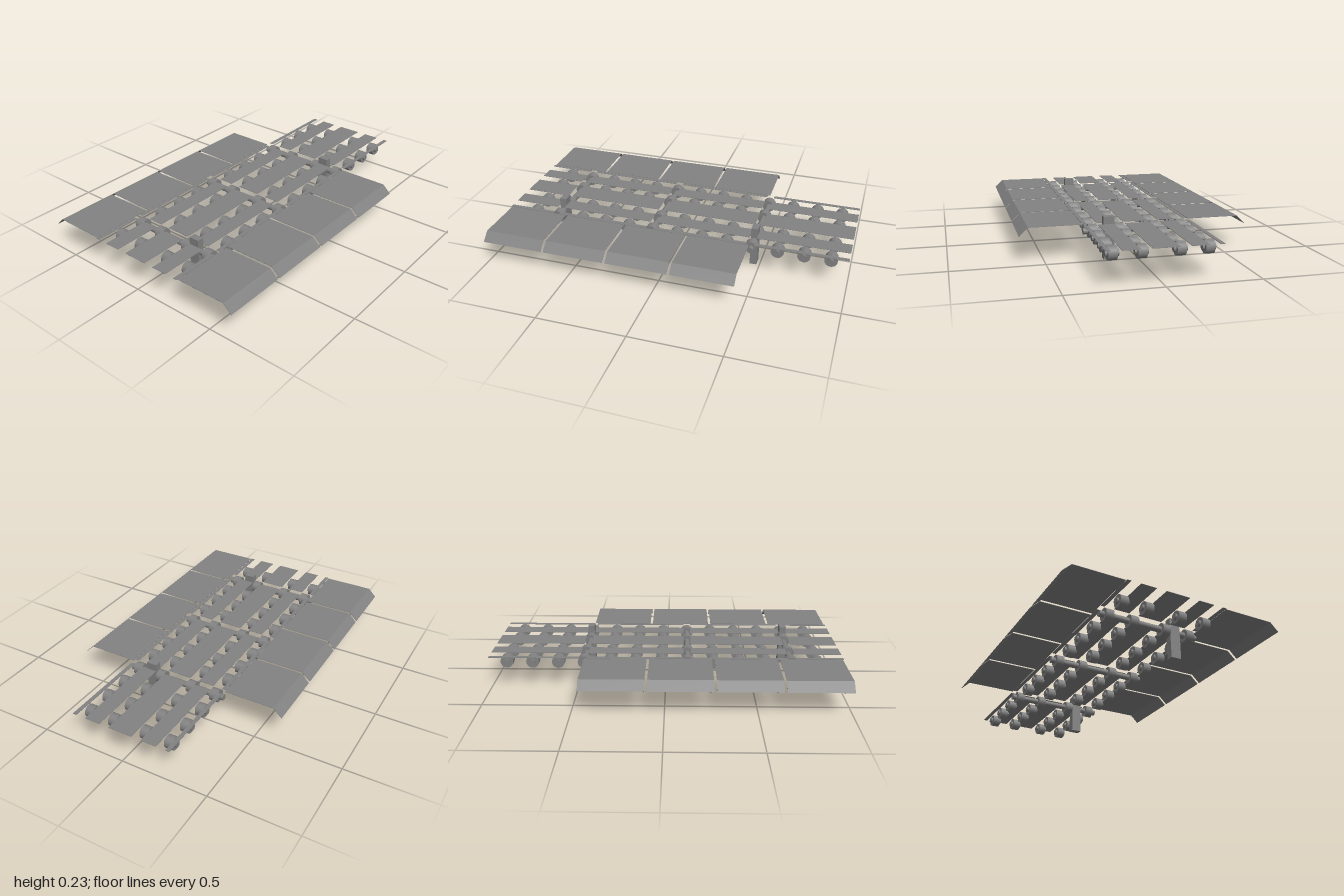
import * as THREE from 'three';

const material = new THREE.MeshStandardMaterial({ color: 0x828282, side: THREE.DoubleSide });
const DECK_Y = 0.195; // top of the sheet metal
const SHEET = 0.002; // sheet thickness
const AXLE_Y = 0.159;
const BREAK_ROWS = [3, 7, 11]; // rows where the floor strips are interrupted
const rowZ = (i) => -0.902 + i * 0.1466;

function add(parent, name, geometry, x = 0, y = 0, z = 0) {
  const mesh = new THREE.Mesh(geometry, material);
  mesh.name = name;
  mesh.position.set(x, y, z);
  parent.add(mesh);
  return mesh;
}

// Cylinder lying along x
function roller(radius, length) {
  return new THREE.CylinderGeometry(radius, radius, length, 24).rotateZ(Math.PI / 2);
}

// Flat floor strip between two x and two z limits
function strip(parent, name, x0, x1, z0, z1) {
  const geometry = new THREE.BoxGeometry(x1 - x0, SHEET, z1 - z0);
  add(parent, name, geometry, (x0 + x1) / 2, DECK_Y - SHEET / 2, (z0 + z1) / 2);
}

export function createModel() {
  const model = new THREE.Group();
  model.name = 'rollerConveyor';

  // Rows of wheels: a full axle at the floor breaks, short hubs elsewhere
  const axleGeo = roller(0.017, 0.59);
  const hubGeo = roller(0.017, 0.07);
  const wheelGeo = roller(0.036, 0.047);
  for (let i = 0; i < 13; i++) {
    const row = new THREE.Group();
    row.name = 'rollerRow';
    row.position.set(0, AXLE_Y, rowZ(i));
    const fullAxle = BREAK_ROWS.includes(i);
    if (fullAxle) add(row, 'axle', axleGeo);
    for (const x of [-0.245, -0.098, 0.098, 0.245]) {
      add(row, 'wheel', wheelGeo, x);
      if (!fullAxle) add(row, 'hub', hubGeo, x);
    }
    model.add(row);
  }

  // Floor strips between the wheels
  const gap = 0.021;
  const starts = [-1, ...BREAK_ROWS.map((i) => rowZ(i) + gap)];
  const ends = [...BREAK_ROWS.map((i) => rowZ(i) - gap), 1];
  starts.forEach((z0, i) => {
    strip(model, 'centreStrip', -0.069, 0.069, z0, ends[i]);
    for (const [name, a, b] of [['innerStrip', 0.126, 0.216], ['edgeStrip', 0.271, 0.294]]) {
      strip(model, name, a, b, z0, ends[i]);
      strip(model, name, -b, -a, z0, ends[i]);
    }
  });

  // Side walkway panels with a sloping outer lip
  const profile = new THREE.Shape([
    [0.297, DECK_Y], [0.586, DECK_Y], [0.634, 0.148],
    [0.632, 0.147], [0.585, DECK_Y - SHEET], [0.297, DECK_Y - SHEET],
  ].map(([x, y]) => new THREE.Vector2(x, y)));
  const panelGeo = new THREE.ExtrudeGeometry(profile, { depth: 0.351, bevelEnabled: false });
  for (let i = 0; i < 4; i++) {
    const z = -0.456 + i * 0.366;
    add(model, 'leftPanel', panelGeo, 0, 0, z);
    // Half turn about the vertical gives the opposite side
    add(model, 'rightPanel', panelGeo, 0, 0, z + 0.351).rotation.y = Math.PI;
  }

  // Stop posts rising through the floor
  const postGeo = new THREE.BoxGeometry(0.06, 0.235, 0.039);
  for (const i of [3, 11]) add(model, 'stopPost', postGeo, 0.155, 0.1175, rowZ(i));

  return model;
}
